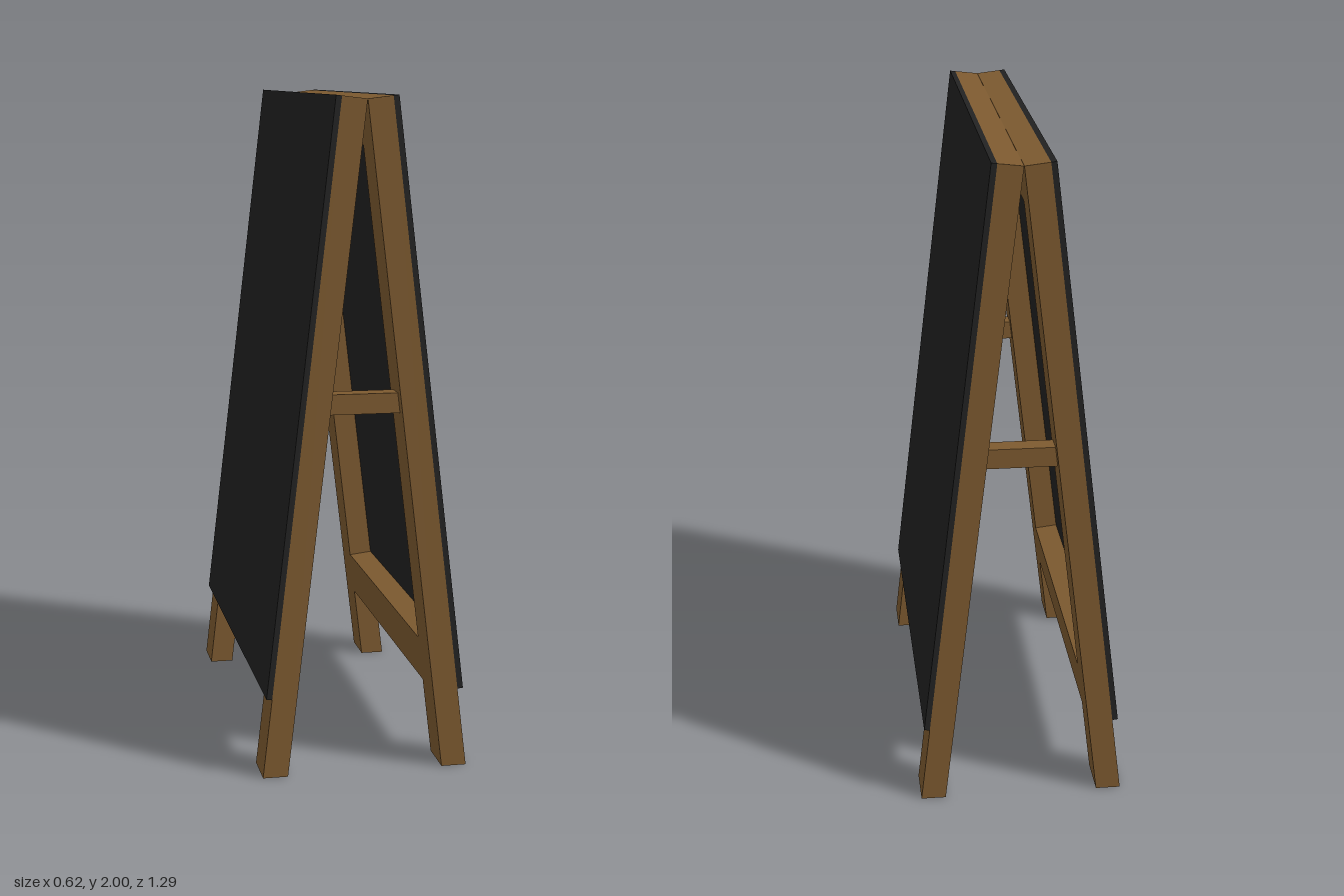
import * as THREE from 'three';

const SLOPE = 0.118;                      // lean of each frame
const LEN = Math.hypot(1, SLOPE);
const THICK = 0.0745, BOARD = 0.017;      // frame and board thickness
const HALF = 0.645, LEG = 0.135;          // half width, leg width
const TOP = 1.998, BOTTOM = 0.24;

const wood = new THREE.MeshStandardMaterial({ color: 0x7d5a30 });
const slate = new THREE.MeshStandardMaterial({ color: 0x222222 });

// Point at height y on the outer frame face, moved outwards square to it
function onFrame(y, out) {
  return new THREE.Vector2(0.31 - SLOPE * y + out / LEN, y + out * SLOPE / LEN);
}

// Side profile swept along z
function sweep(name, points, z0, z1, material) {
  const geometry = new THREE.ExtrudeGeometry(new THREE.Shape(points), { depth: z1 - z0, bevelEnabled: false });
  geometry.translate(0, 0, z0);
  const mesh = new THREE.Mesh(geometry, material);
  mesh.name = name;
  return mesh;
}

// Slab lying along the lean, with square-cut ends
function slab(y0, y1, inner, outer) {
  return [onFrame(y0, inner), onFrame(y0, outer), onFrame(y1, outer), onFrame(y1, inner)];
}

function createFrame(name) {
  const frame = new THREE.Group();
  frame.name = name;

  // Legs: level at the floor, square at the top
  const leg = [
    new THREE.Vector2(0.31 - THICK * LEN, 0), new THREE.Vector2(0.31, 0),
    onFrame(TOP, 0), onFrame(TOP, -THICK),
  ];
  frame.add(sweep('frontLeg', leg, HALF - LEG, HALF, wood));
  frame.add(sweep('backLeg', leg, -HALF, LEG - HALF, wood));

  // Rails between the legs
  const inside = HALF - LEG;
  frame.add(sweep('bottomRail', slab(BOTTOM, BOTTOM + LEG, -THICK, 0), -inside, inside, wood));
  frame.add(sweep('topRail', slab(TOP - LEG, TOP, -THICK, 0), -inside, inside, wood));

  // Writing board on the outer face
  frame.add(sweep('board', slab(BOTTOM, TOP, 0, BOARD), -HALF, HALF, slate));
  return frame;
}

export function createModel() {
  const model = new THREE.Group();
  model.name = 'sandwichBoard';

  const left = createFrame('leftFrame');
  const right = createFrame('rightFrame');
  right.rotation.y = Math.PI;
  model.add(left, right);

  // Spreader bars joining the two frames, ends following the lean
  const innerX = (y) => 0.31 - THICK * LEN - SLOPE * y;
  const [y0, y1] = [1.08, 1.14];
  const bar = [[-innerX(y0), y0], [innerX(y0), y0], [innerX(y1), y1], [-innerX(y1), y1]]
    .map(([x, y]) => new THREE.Vector2(x, y));
  for (const [name, z] of [['frontSpreader', 0.578], ['backSpreader', -0.578]]) {
    model.add(sweep(name, bar, z - 0.03, z + 0.03, wood));
  }
  return model;
}
